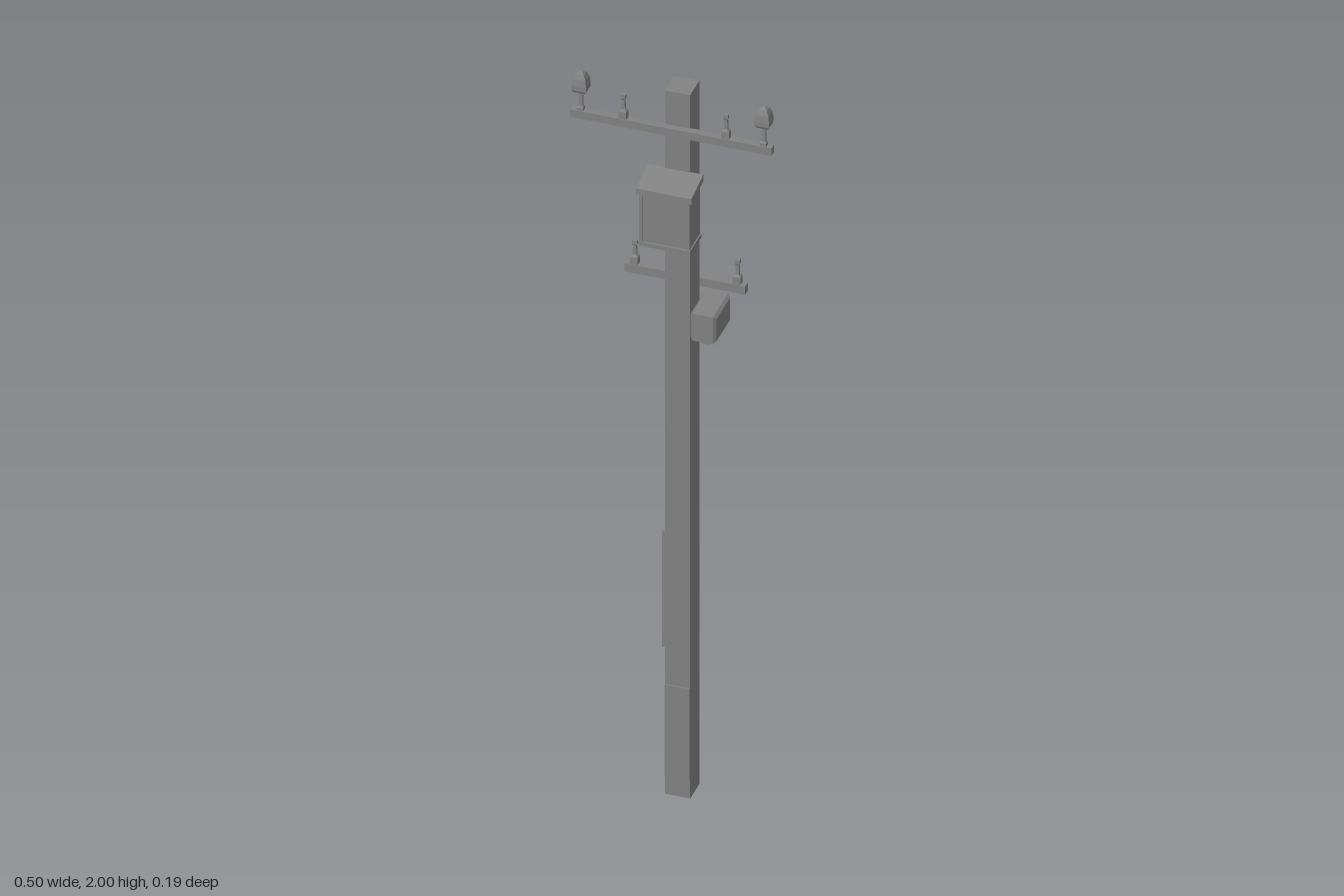
import * as THREE from 'three';

const mat = new THREE.MeshStandardMaterial({ color: 0x828282, flatShading: true });

function add(parent, name, geometry) {
  const mesh = new THREE.Mesh(geometry, mat);
  mesh.name = name;
  parent.add(mesh);
  return mesh;
}

// Box given by its extents on each axis
function box(parent, name, x0, x1, y0, y1, z0, z1) {
  const mesh = add(parent, name, new THREE.BoxGeometry(x1 - x0, y1 - y0, z1 - z0));
  mesh.position.set((x0 + x1) / 2, (y0 + y1) / 2, (z0 + z1) / 2);
}

// Square-section turned shape from [half width, height] pairs, slightly flattened in z
function squareLathe(parent, name, profile, x, y, z) {
  const pts = profile.map(([w, h]) => new THREE.Vector2(w * Math.SQRT2, h));
  const mesh = add(parent, name, new THREE.LatheGeometry(pts, 4, Math.PI / 4));
  mesh.position.set(x, y, z);
  mesh.scale.z = 0.87;
}

// Side profile of [z, y] pairs extruded across x, with an optional chamfer
function sideProfile(parent, name, profile, x0, x1, chamfer = 0) {
  const shape = new THREE.Shape(profile.map(([z, y]) => new THREE.Vector2(-z, y)));
  const geo = new THREE.ExtrudeGeometry(shape, {
    depth: x1 - x0 - 2 * chamfer,
    bevelEnabled: chamfer > 0,
    bevelThickness: chamfer,
    bevelSize: chamfer,
    bevelOffset: -chamfer,
    bevelSegments: 1,
  });
  geo.rotateY(Math.PI / 2).translate(x0 + chamfer, 0, 0);
  add(parent, name, geo);
}

const PIN = [[0, 0], [0.0095, 0], [0.0095, 0.02], [0.0045, 0.026], [0.004, 0.052],
  [0.006, 0.055], [0.006, 0.066], [0, 0.066]];
const STEM = [[0, 0], [0.008, 0], [0.008, 0.008], [0.005, 0.012], [0.005, 0.06], [0, 0.06]];
const CAP = [[0, 0.056], [0.014, 0.053], [0.0185, 0.06], [0.0185, 0.073], [0.016, 0.09],
  [0.0105, 0.103], [0.004, 0.109], [0, 0.109]];

export function createModel() {
  const group = new THREE.Group();
  group.name = 'utilityPole';

  // Pole with its thin cover plates
  box(group, 'pole', -0.021, 0.042, 0, 1.985, -0.055, 0.01);
  box(group, 'sidePlate', -0.027, -0.02, 0.415, 0.742, -0.057, 0.0125);
  box(group, 'frontPlate', -0.0205, 0.0415, 0.05, 0.31, 0.009, 0.013);

  // Upper crossarm with capped insulators at the ends
  const upper = new THREE.Group();
  upper.name = 'upperCrossarm';
  group.add(upper);
  box(upper, 'arm', -0.251, 0.25, 1.87, 1.891, 0.008, 0.027);
  for (const x of [-0.227, 0.228]) {
    squareLathe(upper, 'insulatorStem', STEM, x, 1.891, 0.0175);
    squareLathe(upper, 'insulatorCap', CAP, x, 1.891, 0.0175);
  }

  // Lower crossarm, on the back of the pole
  const lower = new THREE.Group();
  lower.name = 'lowerCrossarm';
  group.add(lower);
  box(lower, 'arm', -0.144, 0.156, 1.406, 1.429, -0.074, -0.055);

  // Small pins on both crossarms
  for (const x of [-0.121, 0.134]) {
    squareLathe(upper, 'pin', PIN, x, 1.891, 0.0175);
    squareLathe(lower, 'pin', PIN, x, 1.429, -0.0645);
  }

  // Cabinet on the front, with a sloped roof and a framed door
  const cabinet = new THREE.Group();
  cabinet.name = 'cabinet';
  group.add(cabinet);
  sideProfile(cabinet, 'cabinetBody',
    [[0.01, 1.592], [0.086, 1.592], [0.086, 1.738], [0.01, 1.752]], -0.056, 0.067);
  sideProfile(cabinet, 'cabinetRoof',
    [[0.008, 1.748], [0.092, 1.734], [0.092, 1.75], [0.008, 1.767]], -0.064, 0.074);
  box(cabinet, 'cabinetSill', -0.059, 0.07, 1.59, 1.601, 0.01, 0.091);
  for (const x of [-0.057, 0.061]) {
    box(cabinet, 'doorFrame', x, x + 0.007, 1.6, 1.738, 0.08, 0.09);
  }

  // Chamfered box on the left side of the pole, with an outlet below
  const sideBox = new THREE.Group();
  sideBox.name = 'sideBox';
  group.add(sideBox);
  sideProfile(sideBox, 'boxBody',
    [[0.014, 1.297], [0.014, 1.373], [-0.095, 1.373], [-0.095, 1.297]].reverse(),
    0.042, 0.107, 0.007);
  box(sideBox, 'boxOutlet', 0.063, 0.083, 1.277, 1.3, -0.056, -0.01);

  return group;
}
